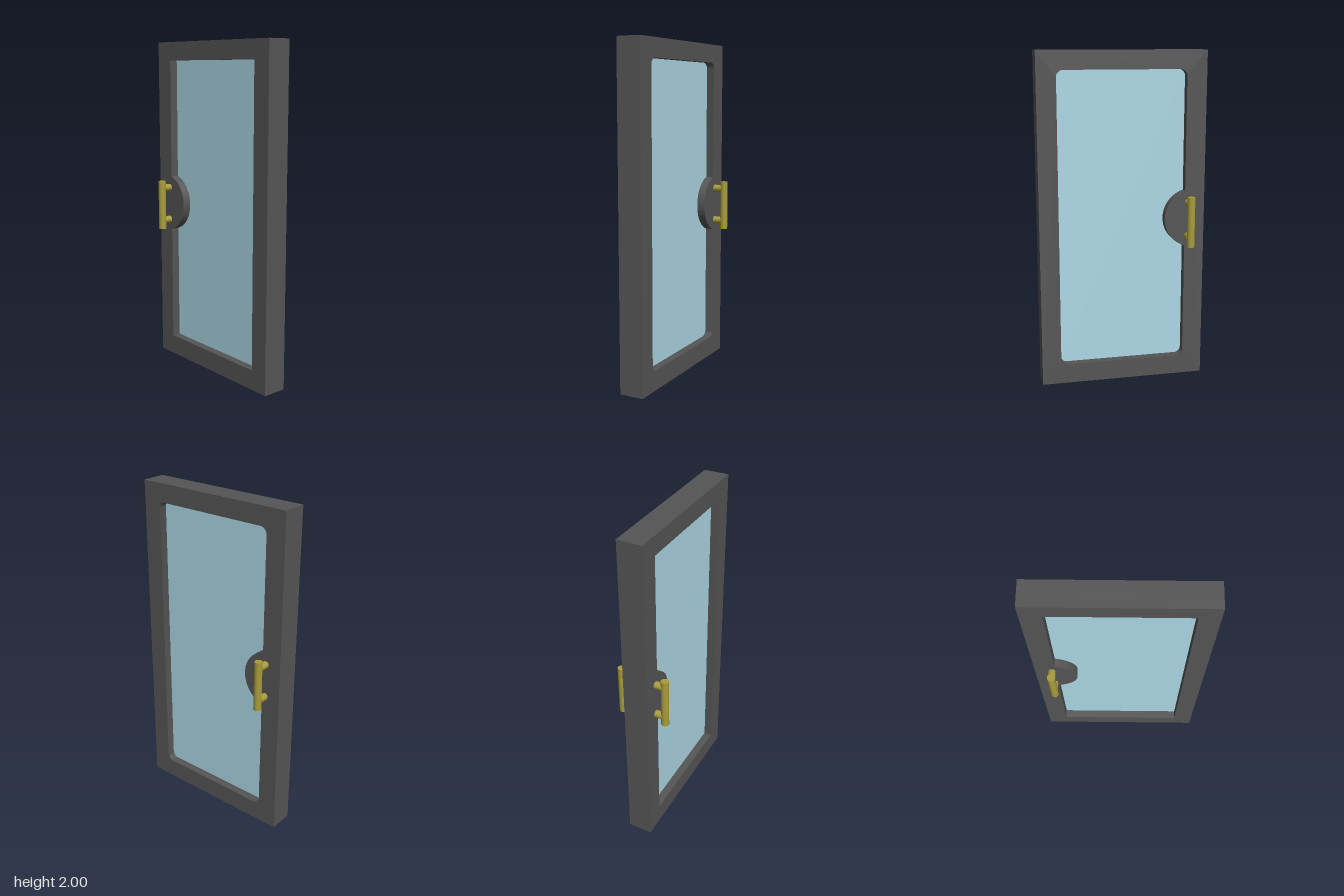
import * as THREE from 'three';
import { toCreasedNormals } from 'three/addons/utils/BufferGeometryUtils.js';

const FRAME = new THREE.MeshStandardMaterial({ color: 0x555555 });
const GLASS = new THREE.MeshStandardMaterial({ color: 0xadd8e6 });
const BRASS = new THREE.MeshStandardMaterial({ color: 0xa89c3a });

// Door face as a plane: u runs toward the back (-z), v is up.
const OPEN = { u0: -0.385, u1: 0.38, v0: 0.12, v1: 1.89 };
const X0 = -0.078, X1 = 0.07, SEAM = -0.004;

function rectangle(Type, { u0, u1, v0, v1 }, r = 0) {
  const s = new Type();
  if (r === 0) {
    s.moveTo(u0, v0).lineTo(u1, v0).lineTo(u1, v1).lineTo(u0, v1).closePath();
    return s;
  }
  s.absarc(u1 - r, v0 + r, r, -Math.PI / 2, 0);
  s.absarc(u1 - r, v1 - r, r, 0, Math.PI / 2);
  s.absarc(u0 + r, v1 - r, r, Math.PI / 2, Math.PI);
  s.absarc(u0 + r, v0 + r, r, Math.PI, Math.PI * 1.5);
  s.closePath();
  return s;
}

// Extrudes a face shape across the door thickness, from xa to xb
function slab(name, shape, xa, xb, material) {
  const geo = new THREE.ExtrudeGeometry(shape, { depth: xb - xa, bevelEnabled: false, curveSegments: 16 });
  geo.rotateY(Math.PI / 2).translate(xa, 0, 0);
  const mesh = new THREE.Mesh(toCreasedNormals(geo, 0.6), material);
  mesh.name = name;
  return mesh;
}

function frameHalf(name, xa, xb, cornerRadius) {
  const shape = rectangle(THREE.Shape, { u0: -0.5, u1: 0.5, v0: 0, v1: 2 });
  shape.holes.push(rectangle(THREE.Path, OPEN, cornerRadius));
  return slab(name, shape, xa, xb, FRAME);
}

// Pull bar on two posts, for side +1 (left) or -1 (right)
function handle(side) {
  const group = new THREE.Group();
  group.name = side > 0 ? 'leftHandle' : 'rightHandle';
  const bar = new THREE.Mesh(new THREE.CylinderGeometry(0.023, 0.023, 0.304, 32), BRASS);
  bar.name = 'handleBar';
  bar.position.set(side * 0.137, 0.993, -0.4);
  group.add(bar);
  for (const y of [0.895, 1.1]) {
    const post = new THREE.Mesh(new THREE.CylinderGeometry(0.022, 0.022, 0.065, 32), BRASS);
    post.name = 'handlePost';
    post.rotation.z = Math.PI / 2;
    post.position.set(side * 0.0925, y, -0.4);
    group.add(post);
  }
  return group;
}

export function createModel() {
  const door = new THREE.Group();
  door.name = 'door';

  // Frame: square-cornered opening on one face, rounded on the other
  door.add(frameHalf('rightFrame', X0, SEAM, 0));
  door.add(frameHalf('leftFrame', SEAM, X1, 0.04));

  // Glass recessed between the two faces
  door.add(slab('glassPane', rectangle(THREE.Shape, OPEN), -0.028, 0.02, GLASS));

  // Circle segment that widens the frame behind the handles
  const r = 0.175, cu = 0.43, a = Math.acos((OPEN.u1 - cu) / r);
  const segment = new THREE.Shape();
  segment.absarc(cu, 1.003, r, a, 2 * Math.PI - a);
  segment.closePath();
  door.add(slab('handlePlate', segment, X0, X1, FRAME));

  door.add(handle(1), handle(-1));
  return door;
}
